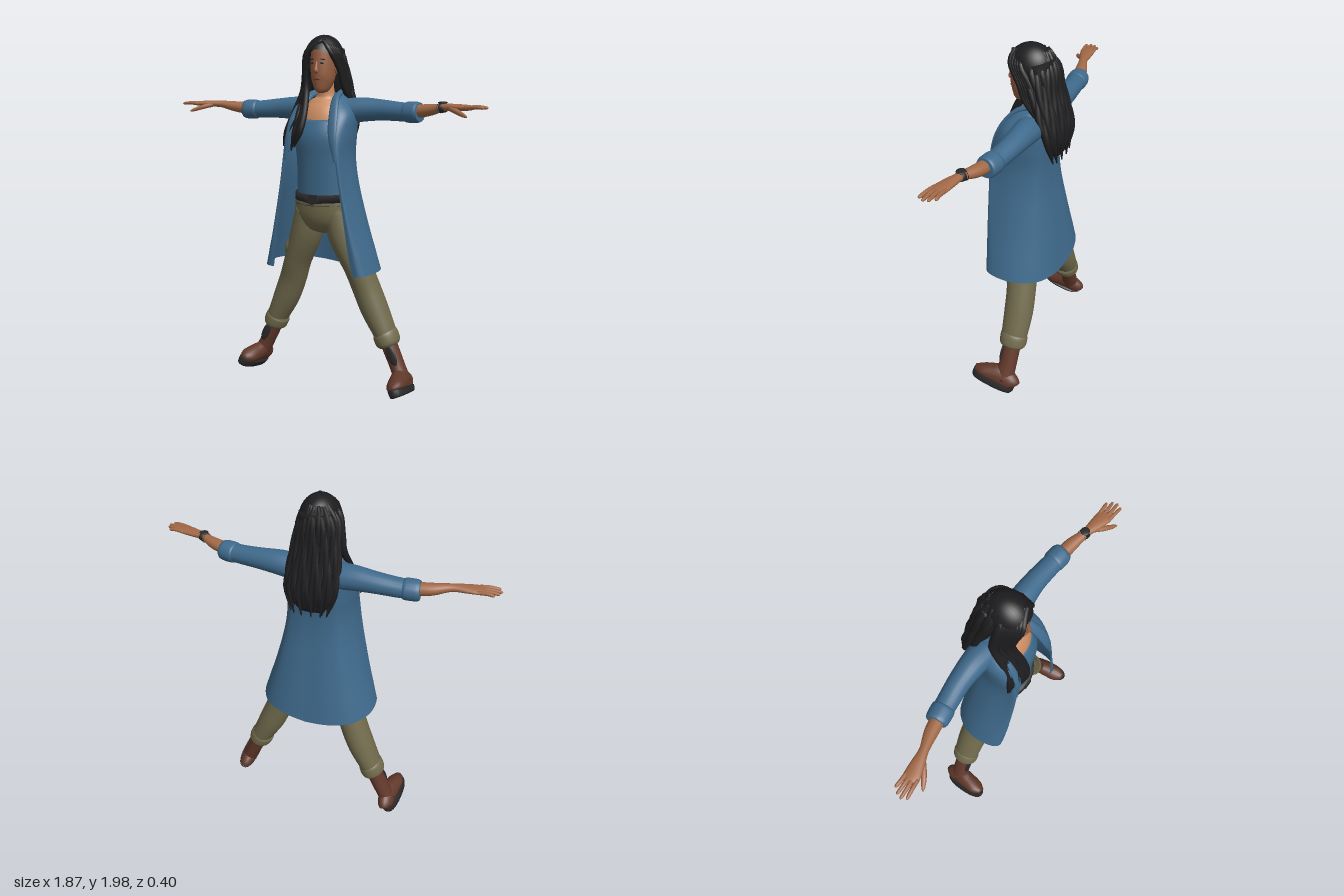
import * as THREE from 'three';

const mat = (name, color, side = THREE.FrontSide) => {
  const m = new THREE.MeshStandardMaterial({ color, side });
  m.name = name;
  return m;
};
const X = new THREE.Vector3(1, 0, 0), Y = new THREE.Vector3(0, 1, 0), Z = new THREE.Vector3(0, 0, 1);

// Smooth closed body through sections [x, y, z, a, b]; b is the half size towards ref, a across it
function loft(sections, ref = Z, n = 20, steps = 5, power = 2) {
  const path = new THREE.CatmullRomCurve3(sections.map(s => new THREE.Vector3(s[0], s[1], s[2])), false, 'catmullrom');
  const size = new THREE.CatmullRomCurve3(sections.map(s => new THREE.Vector3(s[3], s[4], 0)), false, 'catmullrom');
  const rings = (sections.length - 1) * steps, pos = [], idx = [];
  const sup = c => Math.sign(c) * Math.abs(c) ** (2 / power);
  for (let i = 0; i <= rings; i++) {
    const c = path.getPoint(i / rings), t = path.getTangent(i / rings), r = size.getPoint(i / rings);
    const v = ref.clone().addScaledVector(t, -ref.dot(t)).normalize();
    const u = v.clone().cross(t);
    for (let j = 0; j < n; j++) {
      const q = (j / n) * Math.PI * 2;
      const p = c.clone().addScaledVector(u, r.x * sup(Math.cos(q))).addScaledVector(v, r.y * sup(Math.sin(q)));
      pos.push(p.x, p.y, p.z);
      if (i < rings) {
        const a = i * n + j, b = i * n + (j + 1) % n;
        idx.push(a, b, a + n, b, b + n, a + n);
      }
    }
  }
  const first = sections[0], last = sections[sections.length - 1], k = pos.length / 3;
  pos.push(first[0], first[1], first[2], last[0], last[1], last[2]);
  for (let j = 0; j < n; j++) {
    const j2 = (j + 1) % n, e = rings * n;
    idx.push(k, j2, j, k + 1, e + j, e + j2);
  }
  return finish(pos, idx);
}

function finish(pos, idx) {
  const g = new THREE.BufferGeometry();
  g.setAttribute('position', new THREE.Float32BufferAttribute(pos, 3));
  g.setIndex(idx);
  g.computeVertexNormals();
  return g;
}

// Open coat: rows of [y, half width, front z, back z, half opening]
function coatSheet(rows, n = 56, steps = 5) {
  const pos = [], idx = [], total = (rows.length - 1) * steps;
  const c1 = new THREE.CatmullRomCurve3(rows.map(r => new THREE.Vector3(r[0], r[1], r[4])), false, 'catmullrom');
  const c2 = new THREE.CatmullRomCurve3(rows.map(r => new THREE.Vector3(r[2], r[3], 0)), false, 'catmullrom');
  for (let i = 0; i <= total; i++) {
    const { x: y, y: w, z: e } = c1.getPoint(i / total), { x: zf, y: zb } = c2.getPoint(i / total);
    const half = [[e, zf], [(e + w) / 2, zf], [w * 0.97, zf - 0.04], [w, (zf + zb) / 2], [w * 0.8, zb * 0.68], [w * 0.45, zb * 0.95]];
    const outline = [...half, [0, zb], ...half.map(p => [-p[0], p[1]]).reverse()];
    const curve = new THREE.CatmullRomCurve3(outline.map(p => new THREE.Vector3(p[0], 0, p[1])));
    const low = Math.max(0, 1 - i / 6);
    for (let j = 0; j <= n; j++) {
      const p = curve.getPoint(j / n);
      pos.push(p.x, y + low * 0.1 * Math.abs(p.x), p.z);
      if (i < total && j < n) {
        const a = i * (n + 1) + j, b = a + n + 1;
        idx.push(a, b, a + 1, a + 1, b, b + 1);
      }
    }
  }
  return finish(pos, idx);
}

export function createModel() {
  const model = new THREE.Group();
  model.name = 'womanInCoat';
  const blue = mat('coat blue', 0x3f6a8c, THREE.DoubleSide), olive = mat('trouser olive', 0x706a4c);
  const hair = mat('hair black', 0x1d1d1f, THREE.DoubleSide), face = mat('face brown', 0x965e40);
  const skin = mat('arm brown', 0xa26947), chest = mat('chest tan', 0xcb8d62), lip = mat('lip brown', 0x7a4234);
  const leather = mat('boot brown', 0x61382a), dark = mat('sole and belt dark', 0x2a2829);
  const add = (name, geometry, material, parent = model) => {
    const m = new THREE.Mesh(geometry, material);
    m.name = name;
    parent.add(m);
    return m;
  };
  const ball = (name, material, at, scale, parent) => {
    const m = add(name, new THREE.SphereGeometry(1, 16, 10), material, parent);
    m.position.set(...at);
    m.scale.set(...scale);
    return m;
  };

  // Body
  add('neckAndChest', loft([[0, 1.46, 0.045, 0.13, 0.095], [0, 1.55, 0.04, 0.13, 0.09], [0, 1.62, 0.02, 0.105, 0.068],
    [0.003, 1.665, 0.012, 0.058, 0.052], [0.005, 1.72, 0.02, 0.045, 0.047], [0.008, 1.78, 0.03, 0.045, 0.047]], Z, 28), chest);
  add('top', loft([[0, 1.11, 0.035, 0.155, 0.112], [0, 1.2, 0.045, 0.15, 0.105], [0, 1.33, 0.05, 0.15, 0.108],
    [0, 1.45, 0.05, 0.16, 0.117], [0, 1.54, 0.043, 0.134, 0.094]], Z, 32), blue);
  add('belt', loft([[0, 1.09, 0.03, 0.172, 0.13], [0, 1.15, 0.035, 0.166, 0.124]], Z, 32, 2), dark);
  const buckle = add('buckle', new THREE.BoxGeometry(0.05, 0.045, 0.008), dark);
  buckle.position.set(0, 1.12, 0.162);
  add('hips', loft([[0, 1.12, 0.03, 0.166, 0.124], [0, 1.03, 0.02, 0.18, 0.125], [0, 0.97, 0.01, 0.155, 0.105],
    [0, 0.93, 0, 0.07, 0.06]], Z, 32), olive);

  // Coat
  add('coat', coatSheet([[0.69, 0.33, 0.168, -0.192, 0.25], [0.85, 0.292, 0.177, -0.168, 0.225], [1, 0.25, 0.184, -0.143, 0.205],
    [1.2, 0.202, 0.19, -0.11, 0.175], [1.35, 0.182, 0.19, -0.1, 0.152], [1.48, 0.187, 0.173, -0.11, 0.12],
    [1.58, 0.183, 0.128, -0.115, 0.098], [1.65, 0.13, 0.07, -0.1, 0.08], [1.69, 0.082, 0.035, -0.075, 0.065]]), blue);
  const lapel = [[0.155, 1.33, 0.19, 0.008, 0.005], [0.132, 1.46, 0.18, 0.024, 0.009], [0.115, 1.57, 0.138, 0.028, 0.011],
    [0.09, 1.66, 0.06, 0.024, 0.015], [0.07, 1.69, -0.03, 0.02, 0.016]];
  add('collar', loft([...lapel, [0, 1.69, -0.08, 0.025, 0.014],
    ...lapel.map(p => [-p[0], ...p.slice(1)]).reverse()], Z, 12), blue);

  for (const s of [1, -1]) {
    const limb = (name, sections, material, ref = Z, n = 20, parent = model) =>
      add(name, loft(sections.map(p => [p[0] * s, ...p.slice(1)]), ref, n), material, parent);

    // Arm and hand
    limb('sleeve', [[0.08, 1.585, -0.02, 0.08, 0.07], [0.2, 1.6, -0.03, 0.068, 0.066], [0.32, 1.6, -0.031, 0.058, 0.056],
      [0.44, 1.593, -0.02, 0.054, 0.05], [0.53, 1.592, -0.01, 0.05, 0.048]], blue, Y);
    limb('sleeveCuff', [[0.465, 1.592, -0.018, 0.053, 0.05], [0.48, 1.592, -0.016, 0.059, 0.055], [0.53, 1.592, -0.01, 0.058, 0.055],
      [0.55, 1.593, -0.007, 0.051, 0.049]], blue, Y);
    limb('forearmAndPalm', [[0.5, 1.595, -0.01, 0.037, 0.035], [0.6, 1.605, 0.007, 0.035, 0.031], [0.69, 1.62, 0.034, 0.024, 0.02],
      [0.76, 1.622, 0.05, 0.034, 0.018], [0.82, 1.622, 0.062, 0.041, 0.015], [0.85, 1.622, 0.067, 0.034, 0.011]], skin, Y);
    for (let i = 0; i < 4; i++) {
      const z = 0.034 + i * 0.02, reach = [0.905, 0.925, 0.932, 0.92][i];
      limb('finger', [[0.82, 1.622, z, 0.011, 0.011], [0.87, 1.626, z + i * 0.002, 0.01, 0.01],
        [reach - 0.008, 1.623, z + i * 0.005 - 0.003, 0.008, 0.008], [reach, 1.621, z + i * 0.005 - 0.003, 0.003, 0.003]], skin, Y, 10);
    }
    limb('thumb', [[0.735, 1.617, 0.06, 0.014, 0.013], [0.785, 1.602, 0.1, 0.014, 0.013], [0.825, 1.587, 0.125, 0.01, 0.01],
      [0.845, 1.58, 0.136, 0.004, 0.004]], skin, Y, 10);

    // Leg
    limb('trouserLeg', [[0.085, 1.06, 0.015, 0.085, 0.11], [0.125, 0.9, 0.01, 0.09, 0.104], [0.195, 0.73, -0.01, 0.076, 0.094],
      [0.24, 0.61, -0.027, 0.078, 0.085], [0.29, 0.49, -0.035, 0.077, 0.084], [0.35, 0.37, -0.038, 0.064, 0.077],
      [0.372, 0.315, -0.038, 0.058, 0.07]], olive, Z, 24);
    limb('trouserCuff', [[0.35, 0.365, -0.038, 0.064, 0.074], [0.358, 0.35, -0.038, 0.071, 0.08], [0.375, 0.31, -0.038, 0.069, 0.078],
      [0.382, 0.293, -0.038, 0.056, 0.066]], olive, Z, 24);
    const pocket = ball('thighPocket', olive, [s * 0.215, 0.82, 0.01], [0.035, 0.075, 0.07]);
    pocket.rotation.z = s * 0.4;

    // Boot, tilted along the leg
    const boot = new THREE.Group();
    boot.name = 'boot';
    boot.position.set(s * 0.425, 0.203, -0.035);
    boot.rotation.set(-0.25, 0, s * 0.45);
    model.add(boot);
    limb('bootShaft', [[0, 0.15, 0.03, 0.047, 0.052], [0, 0.06, 0.012, 0.045, 0.05], [0, -0.03, -0.005, 0.043, 0.052],
      [0, -0.12, -0.015, 0.045, 0.06]], leather, Z, 20, boot);
    limb('bootFoot', [[0, -0.13, -0.092, 0.02, 0.03], [0, -0.115, -0.07, 0.04, 0.05], [0, -0.105, 0, 0.046, 0.065],
      [0, -0.117, 0.06, 0.05, 0.054], [0, -0.132, 0.12, 0.048, 0.038], [0, -0.14, 0.165, 0.022, 0.018]], leather, Y, 20, boot);
    add('sole', loft([[0, -0.182, 0.037, 0.046, 0.125], [0, -0.165, 0.038, 0.051, 0.133], [0, -0.143, 0.038, 0.052, 0.134]],
      Z, 28, 2, 2.4), dark, boot);
    ball('bootPanel', dark, [s * 0.008, 0.035, 0.055], [0.026, 0.062, 0.009], boot).rotation.x = 0.18;

    // Ear, eye and brow
    ball('ear', face, [0.01 + s * 0.071, 1.815, 0.035], [0.01, 0.027, 0.017]);
    ball('eye', dark, [0.01 + s * 0.028, 1.846, 0.122], [0.012, 0.005, 0.004]).rotation.y = s * 0.35;
    const brow = ball('brow', hair, [0.01 + s * 0.03, 1.866, 0.119], [0.017, 0.0035, 0.004]);
    brow.rotation.set(0, s * 0.4, -s * 0.1);
  }

  // Wrist watch
  add('watchStrap', loft([[0.67, 1.617, 0.028, 0.03, 0.026], [0.7, 1.621, 0.037, 0.028, 0.024]], Y, 18, 2), dark);
  ball('watchFace', dark, [0.686, 1.645, 0.034], [0.025, 0.006, 0.024]);

  // Head
  add('head', loft([[0.01, 1.69, 0.08, 0.016, 0.02], [0.01, 1.705, 0.078, 0.036, 0.043], [0.01, 1.75, 0.064, 0.057, 0.067],
    [0.01, 1.8, 0.054, 0.066, 0.079], [0.01, 1.86, 0.044, 0.07, 0.086], [0.01, 1.92, 0.037, 0.067, 0.083],
    [0.01, 1.96, 0.03, 0.045, 0.055]], Z, 28), face);
  add('nose', loft([[0.01, 1.858, 0.124, 0.006, 0.006], [0.01, 1.82, 0.133, 0.01, 0.012], [0.01, 1.803, 0.136, 0.014, 0.012],
    [0.01, 1.793, 0.128, 0.008, 0.006]], Z, 12), face);
  ball('lips', lip, [0.01, 1.765, 0.128], [0.019, 0.008, 0.006]);

  // Hair: cap, back mass and tapered locks
  const cap = add('hairCap', new THREE.SphereGeometry(1, 36, 18, 0, Math.PI * 2, 0, Math.PI * 0.58), hair);
  cap.scale.set(0.104, 0.13, 0.122);
  cap.position.set(0, 1.871, 0.028);
  cap.rotation.x = -0.65;
  add('hairBack', loft([[0, 1.92, -0.02, 0.09, 0.08], [-0.005, 1.8, -0.045, 0.11, 0.07], [-0.01, 1.68, -0.08, 0.128, 0.065],
    [-0.01, 1.58, -0.115, 0.132, 0.052], [-0.015, 1.48, -0.13, 0.11, 0.038], [-0.02, 1.42, -0.135, 0.07, 0.02]], Z, 28), hair);
  const lock = (points, r) => {
    const last = points.length - 1;
    add('hairLock', loft(points.map((p, k) => {
      const w = r * (k === 0 ? 0.6 : k === last ? 0.2 : 1);
      return [...p, w, w * 0.8];
    }), X, 8, 4), hair);
  };
  const level = [[1.965, 0.04, 0, 0.06], [1.88, 0.094, -0.005, 0.1], [1.76, 0.113, -0.05, 0.075], [1.64, 0.13, -0.085, 0.07],
    [1.53, 0.13, -0.12, 0.05], [1.43, 0.105, -0.14, 0.025]];
  for (let i = 0; i < 21; i++) {
    const q = (i / 20 - 0.5) * 3.5;
    lock(level.map(([y, rx, cz, rz], k) => {
      const wave = 0.009 * Math.sin(i * 2.1 + k * 1.9);
      return [-0.01 + Math.sin(q) * rx + wave, y - (k === 5 ? 0.035 * Math.sin(i * 4.3) : 0), cz - Math.cos(q) * rz + wave * 0.5];
    }), 0.018);
  }
  // Locks sweeping over the right side of the face onto the chest
  for (let i = 0; i < 8; i++) {
    const t = i / 7, w = 0.007 * Math.sin(i * 2.7);
    lock([[0.035 - 0.06 * t, 1.962, 0.105 - 0.08 * t], [-0.045 - 0.05 * t, 1.905, 0.132 - 0.09 * t],
      [-0.07 - 0.05 * t, 1.8, 0.11 - 0.08 * t], [-0.07 - 0.062 * t + w, 1.7, 0.1 - 0.07 * t],
      [-0.055 - 0.088 * t - w, 1.58, 0.15 - 0.045 * t], [-0.065 - 0.1 * t + w, 1.48, 0.185 - 0.035 * t],
      [-0.1 - 0.085 * t, 1.4 + w * 4, 0.185 - 0.03 * t]], 0.02);
  }
  // Locks tucked behind the left shoulder
  for (let i = 0; i < 5; i++) {
    const t = i / 4;
    lock([[0.03, 1.968 - 0.004 * t, 0.1 - 0.06 * t], [0.077 + 0.012 * t, 1.91, 0.1 - 0.06 * t], [0.1, 1.82, 0.045 - 0.06 * t],
      [0.105, 1.73, 0.005 - 0.05 * t], [0.11, 1.62, -0.09 - 0.02 * t], [0.1, 1.52, -0.13]], 0.018);
  }
  return model;
}
